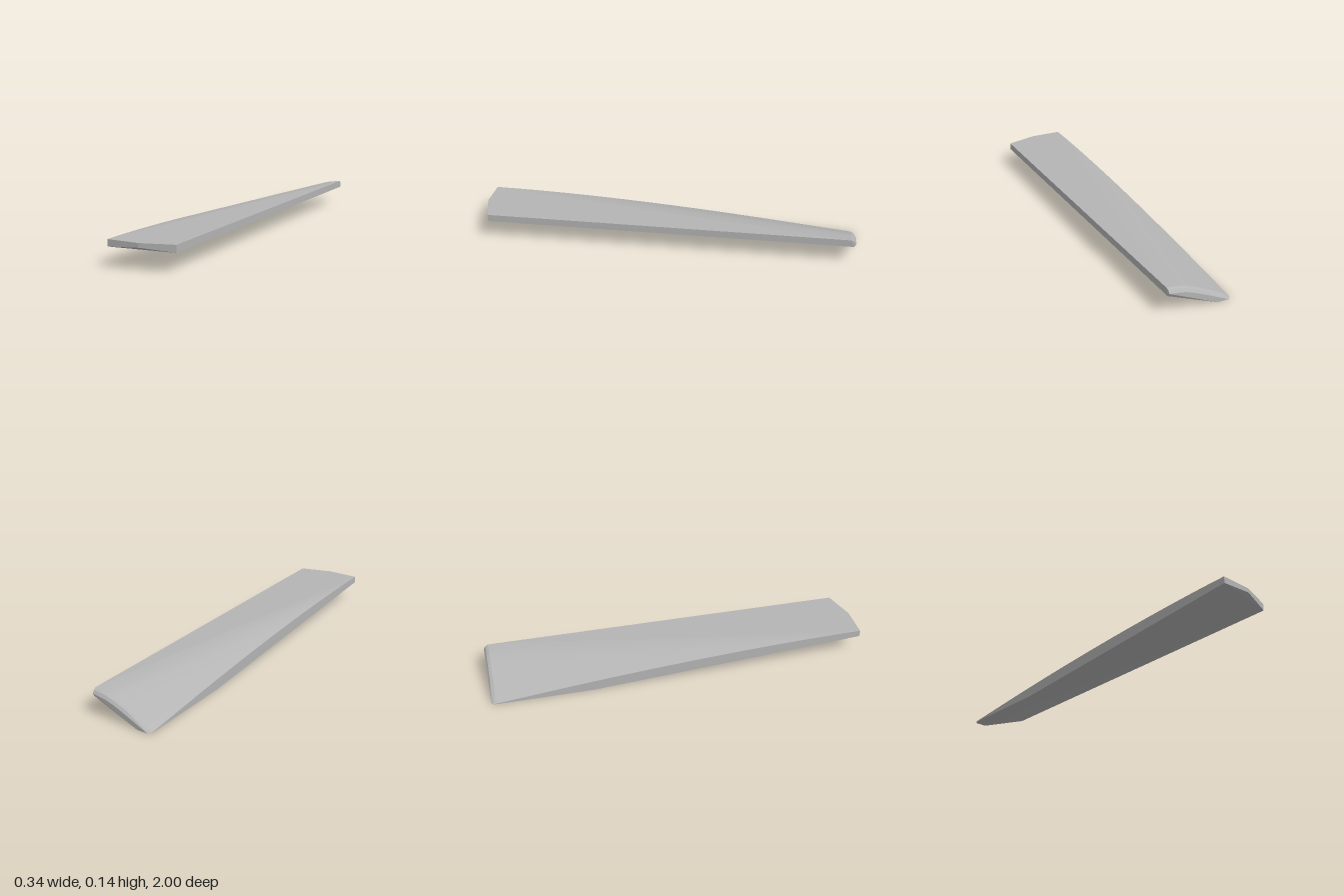
import * as THREE from 'three';
import { ConvexGeometry } from 'three/addons/geometries/ConvexGeometry.js';

export function createModel() {
  const group = new THREE.Group();
  group.name = 'twistedBlade';
  const grey = new THREE.MeshStandardMaterial({ color: 0xb4b4b4 });
  grey.name = 'plainGrey';

  const W = 0.17, TOP = 0.135;
  const points = [];
  const add = (x, y, z) => points.push(new THREE.Vector3(x, y, z));

  // Blunt front end with one skewed corner
  add(-W, TOP, 1); add(0, TOP, 1); add(W, TOP, 0.95);
  add(-W, 0.1, 1); add(0, 0.113, 1); add(W, 0.098, 0.95);

  // Underside: sloped facets meeting a small flat foot at the back
  add(W, 0.098, -0.99);
  add(-W, 0, -0.47); add(-W, 0, -0.98);
  add(-0.155, 0, -1); add(-0.095, 0, -1);

  // Left top edge sweeps down toward the back
  for (let i = 1; i < 16; i++) {
    const t = i / 16;
    add(-W, TOP * (1 - Math.pow(t, 1.7)), 1 - 2 * t);
  }

  // Curved back section, with its rim rounded over
  const section = new THREE.SplineCurve([
    [W, TOP], [0.085, 0.123], [-0.01, 0.088], [-0.11, 0.038], [-W, 0.004],
  ].map(([x, y]) => new THREE.Vector2(x, y)));
  for (const p of section.getPoints(16)) {
    add(p.x, p.y, -0.975);
    add(p.x * 0.985, Math.max(p.y - 0.007, 0.001), -0.99);
    if (p.x > -0.155) add(p.x * 0.98, Math.max(p.y - 0.022, 0.001), -1);
  }

  const blade = new THREE.Mesh(new ConvexGeometry(points), grey);
  blade.name = 'blade';
  group.add(blade);
  return group;
}
